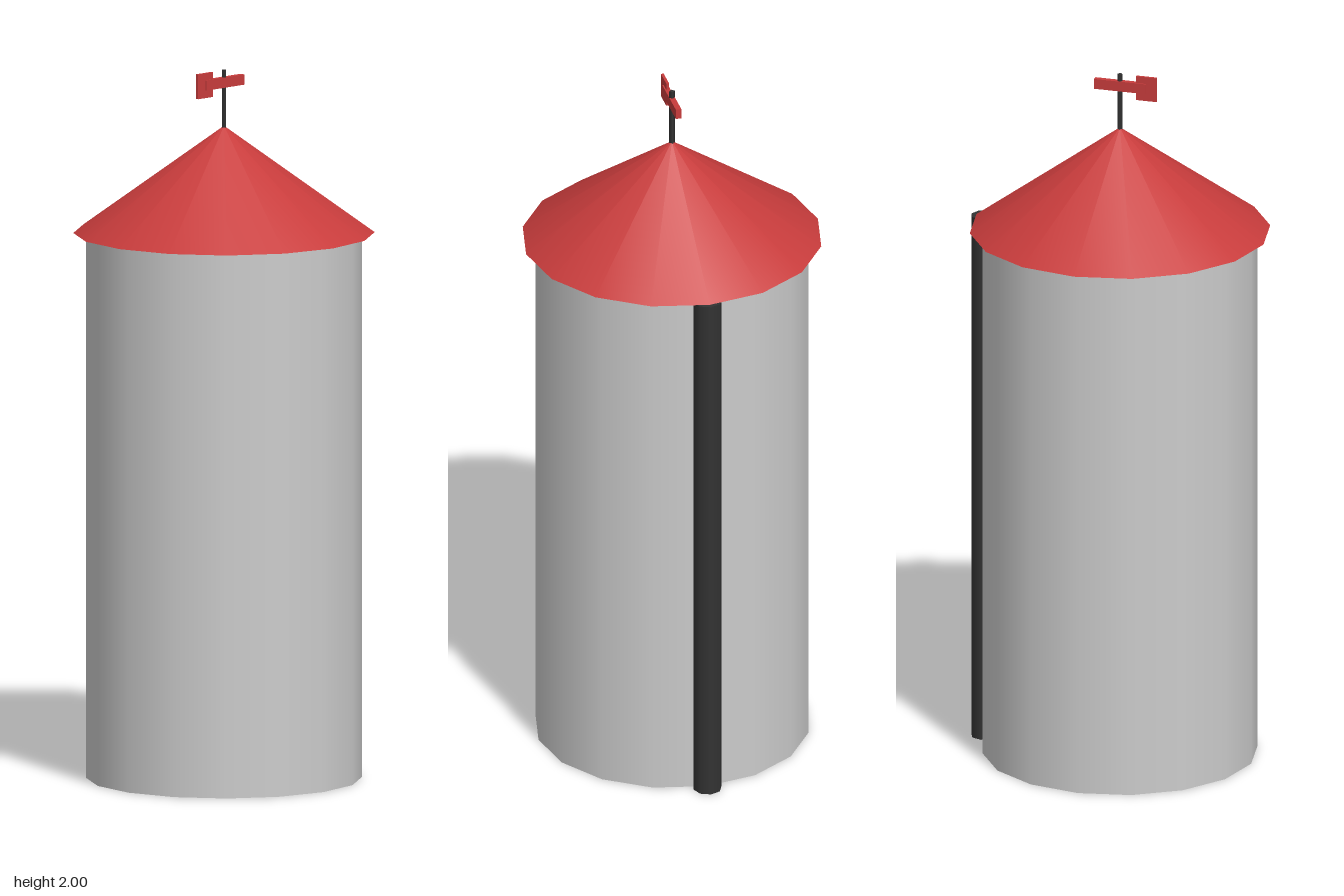
import * as THREE from 'three';

const RED = 0xc83c3c, DARK = 0x333333, GREY = 0xcccccc;
const AXIS_X = -0.008;

export function createModel() {
  const model = new THREE.Group();
  model.name = 'silo';

  const add = (name, geometry, color, x, y, z = 0) => {
    const mesh = new THREE.Mesh(geometry, new THREE.MeshStandardMaterial({ color }));
    mesh.name = name;
    mesh.position.set(x, y, z);
    model.add(mesh);
    return mesh;
  };

  // Tower and roof
  const eaves = 1.54, apex = 1.842;
  add('tower', new THREE.CylinderGeometry(0.385, 0.385, eaves, 16), GREY, AXIS_X, eaves / 2);
  add('roof', new THREE.ConeGeometry(0.421, apex - eaves, 16), RED, AXIS_X, (eaves + apex) / 2);

  // Vertical pipe half sunk into the wall
  add('pipe', new THREE.CylinderGeometry(0.04, 0.04, eaves, 8), DARK, 0.388, eaves / 2);

  // Weather vane: pole, pointer and tail plate
  add('vanePole', new THREE.CylinderGeometry(0.008, 0.008, 0.18, 4), DARK, AXIS_X, 1.91);
  add('vanePointer', new THREE.BoxGeometry(0.152, 0.029, 0.016), RED, -0.01, 1.965);
  add('vaneTail', new THREE.BoxGeometry(0.06, 0.07, 0.008), RED, -0.086, 1.964);

  return model;
}
